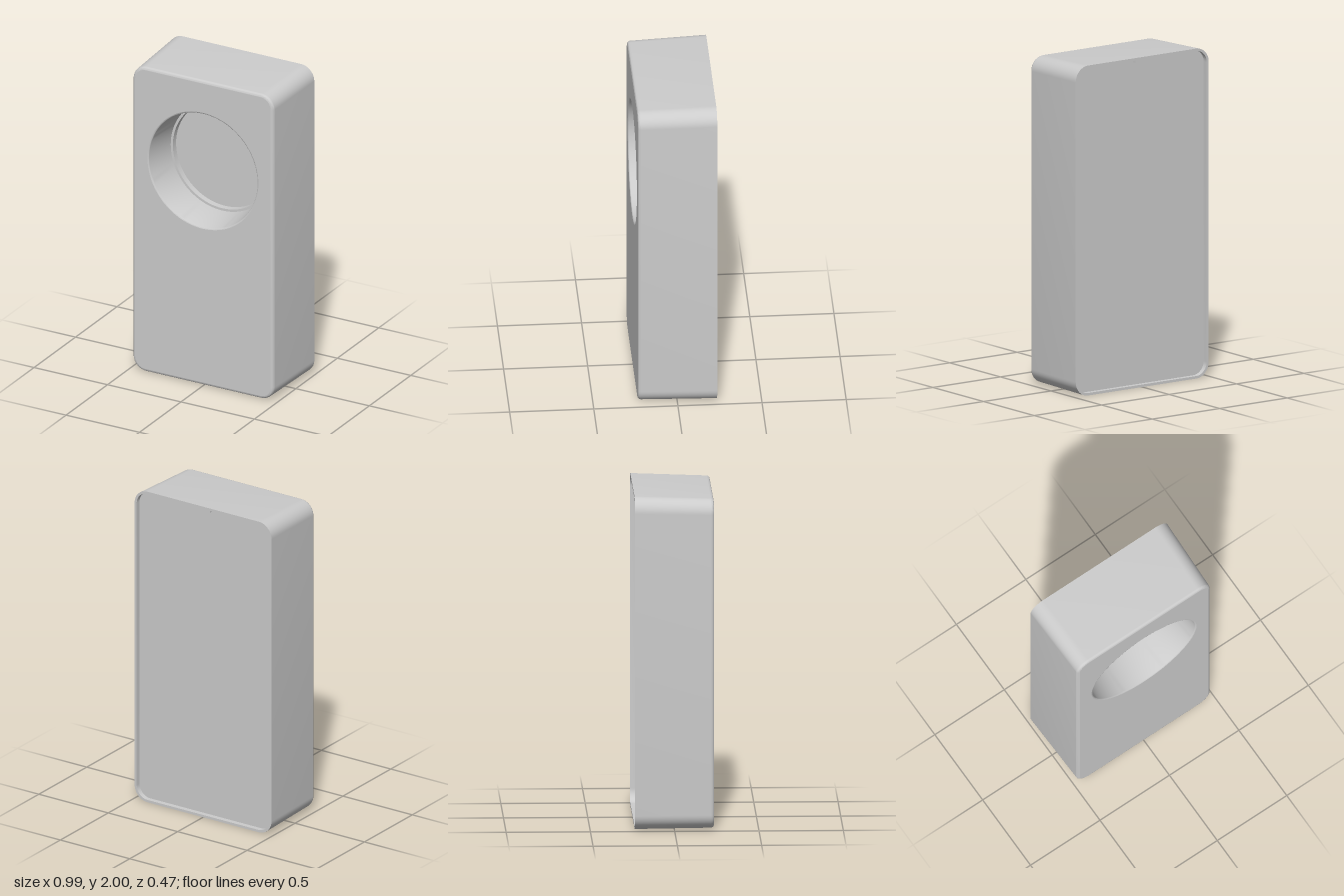
import * as THREE from 'three';
import { toCreasedNormals } from 'three/addons/utils/BufferGeometryUtils.js';

const HOLE_Y = 1.4;

// Rounded rectangle, counter-clockwise seen from +z, with a fixed point count
function roundedLoop(hw, y0, y1, r, steps = 12) {
  const centres = [[hw - r, y0 + r], [hw - r, y1 - r], [-hw + r, y1 - r], [-hw + r, y0 + r]];
  const points = [];
  centres.forEach(([cx, cy], k) => {
    for (let i = 0; i <= steps; i++) {
      const a = (k - 1 + i / steps) * Math.PI / 2;
      points.push(new THREE.Vector2(cx + r * Math.cos(a), cy + r * Math.sin(a)));
    }
  });
  return points;
}

// Skin over a series of { z, points } loops
function loft(loops) {
  const n = loops[0].points.length;
  const positions = loops.flatMap(({ z, points }) => points.flatMap((p) => [p.x, p.y, z]));
  const index = [];
  for (let j = 0; j < loops.length - 1; j++) {
    for (let i = 0; i < n; i++) {
      const a = j * n + i, b = j * n + (i + 1) % n;
      index.push(a, b, b + n, a, b + n, a + n);
    }
  }
  const geometry = new THREE.BufferGeometry();
  geometry.setAttribute('position', new THREE.Float32BufferAttribute(positions, 3));
  geometry.setIndex(index);
  return toCreasedNormals(geometry, 0.6);
}

export function createModel() {
  const group = new THREE.Group();
  const material = new THREE.MeshStandardMaterial({ color: 0xcccccc });
  const add = (name, geometry, x = 0, y = 0, z = 0) => {
    const mesh = new THREE.Mesh(geometry, material);
    mesh.name = name;
    mesh.position.set(x, y, z);
    group.add(mesh);
    return mesh;
  };

  // Tapered housing: recess wall, back rim, drafted sides, rounded front edge
  const back = -0.235, front = 0.235, plateZ = -0.205, fillet = 0.018;
  const plateLoop = roundedLoop(0.478, 0.015, 1.985, 0.078);
  const loops = [
    { z: plateZ, points: plateLoop },
    { z: back, points: plateLoop },
    { z: back, points: roundedLoop(0.493, 0, 2, 0.092) },
  ];
  for (let i = 0; i <= 6; i++) {
    const a = i / 6 * Math.PI / 2;
    const inset = fillet * (1 - Math.cos(a));
    loops.push({
      z: front - fillet * (1 - Math.sin(a)),
      points: roundedLoop(0.479 - inset, 0.004 + inset, 1.985 - inset, 0.088 - inset),
    });
  }
  add('housing', loft(loops));

  // Front face with the round opening
  const holeRadius = 0.378;
  const face = new THREE.Shape(loops[loops.length - 1].points);
  face.holes.push(new THREE.Path().absarc(0, HOLE_Y, holeRadius, 0, Math.PI * 2, true));
  add('frontFace', new THREE.ShapeGeometry(face, 48), 0, 0, front);

  // Recessed back plate, facing -z
  const plate = new THREE.ShapeGeometry(new THREE.Shape(plateLoop));
  plate.rotateY(Math.PI);
  add('backPlate', plate, 0, 0, plateZ);

  // Tapered well with a softened mouth and a stepped lip
  const lipZ = 0, floorZ = -0.035;
  const profile = [];
  for (let i = 0; i <= 4; i++) {
    const a = i / 4 * Math.PI / 2;
    profile.push(new THREE.Vector2(holeRadius - 0.01 * Math.sin(a), front - 0.01 * (1 - Math.cos(a))));
  }
  profile.push(
    new THREE.Vector2(0.352, lipZ),
    new THREE.Vector2(0.337, lipZ),
    new THREE.Vector2(0.335, floorZ),
  );
  const well = new THREE.LatheGeometry(profile, 96);
  well.rotateX(Math.PI / 2);
  add('well', toCreasedNormals(well, 0.6), 0, HOLE_Y, 0);
  add('wellFloor', new THREE.CircleGeometry(0.336, 96), 0, HOLE_Y, floorZ);

  // Small T-shaped key hanging from the top of the lip
  const half = [[0.034, 0.34], [0.034, 0.287], [0.05, 0.287], [0.05, 0.272]];
  const outline = [...half, ...half.map(([x, y]) => [-x, y]).reverse()];
  const key = new THREE.Shape(outline.map(([x, y]) => new THREE.Vector2(x, y)));
  // Open slot in the neck of the key
  const slot = [[-0.02, 0.33], [-0.02, 0.287], [0.02, 0.287], [0.02, 0.33]];
  key.holes.push(new THREE.Path(slot.map(([x, y]) => new THREE.Vector2(x, y))));
  add('lipKey', new THREE.ExtrudeGeometry(key, { depth: lipZ - floorZ - 0.001, bevelEnabled: false }),
    0, HOLE_Y, floorZ);

  // Latch tab under the top of the back rim
  add('latchTab', new THREE.BoxGeometry(0.09, 0.018, 0.024), 0, 1.977, plateZ - 0.012);

  return group;
}
